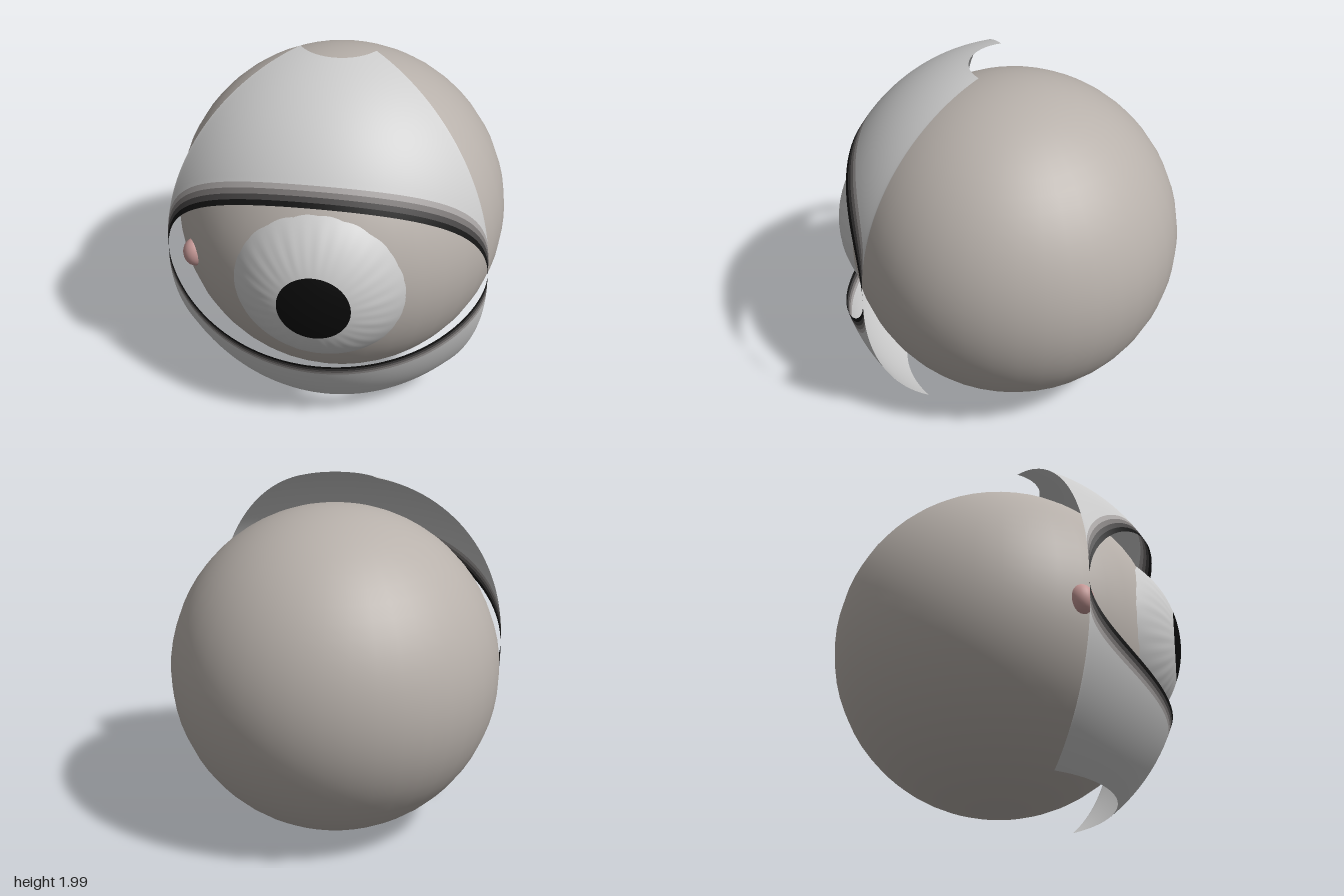
import * as THREE from 'three';
import { mergeVertices } from 'three/addons/utils/BufferGeometryUtils.js';

const CENTRE = new THREE.Vector3(0, 0.935, -0.045);
const HALF_WIDTH = THREE.MathUtils.degToRad(56.3); // azimuth of the eye corners

function add(parent, name, geometry, color = 0xcccccc, side = THREE.FrontSide) {
  const mesh = new THREE.Mesh(geometry, new THREE.MeshStandardMaterial({ color, side }));
  mesh.name = name;
  parent.add(mesh);
  return mesh;
}

// Strip of a lid between t0 and t1 (0 = margin at the opening, 1 = far edge).
// sign is +1 for the upper lid and -1 for the lower one.
function lidStrip(sign, open, far, swell, t0, t1) {
  const geo = new THREE.PlaneGeometry(2, 1, 64, Math.max(2, Math.ceil((t1 - t0) * 28)));
  const pos = geo.attributes.position;
  for (let i = 0; i < pos.count; i++) {
    // even steps of the angle crowd the columns towards the eye corners
    const a = pos.getX(i) * Math.PI / 2;
    const azimuth = HALF_WIDTH * Math.sin(a);
    const t = THREE.MathUtils.lerp(t0, t1, 0.5 + sign * pos.getY(i));
    const elevation = sign * THREE.MathUtils.lerp(open * Math.cos(a), far, t);
    const r = 1.046 + swell * t;
    const flat = r * Math.cos(elevation);
    pos.setXYZ(i, flat * Math.sin(azimuth), r * Math.sin(elevation), flat * Math.cos(azimuth));
  }
  geo.computeVertexNormals();
  return geo;
}

function makeLid(name, sign, openDeg, farDeg, swell) {
  const lid = new THREE.Group();
  lid.name = name;
  const rad = THREE.MathUtils.degToRad;
  // the margin darkens in narrow bands towards the opening
  const bands = [
    ['Margin', 0, 0.035, 0x151515],
    ['InnerBand', 0.035, 0.07, 0x484646],
    ['MiddleBand', 0.07, 0.105, 0x7c7877],
    ['OuterBand', 0.105, 0.14, 0xa8a4a3],
    ['Skin', 0.14, 1, 0xcccccc],
  ];
  for (const [part, t0, t1, color] of bands) {
    add(lid, name + part, lidStrip(sign, rad(openDeg), rad(farDeg), swell, t0, t1), color, THREE.DoubleSide);
  }
  return lid;
}

// Cap of the bulging cornea, facing +z, with fine radial folds
function domeCap(from, to, ripple) {
  const geo = new THREE.SphereGeometry(0.58, 144, 20, 0, Math.PI * 2, from, to - from);
  geo.rotateX(Math.PI / 2);
  if (!ripple) return geo;
  const pos = geo.attributes.position;
  const v = new THREE.Vector3();
  for (let i = 0; i < pos.count; i++) {
    v.fromBufferAttribute(pos, i);
    const angle = Math.atan2(v.y, v.x);
    const s = (Math.acos(Math.min(1, v.z / 0.58)) - from) / (to - from);
    const fold = Math.sin(angle * 30) + 0.5 * Math.sin(angle * 17 + 1);
    v.multiplyScalar(1 + ripple * fold * Math.sin(Math.PI * s));
    pos.setXYZ(i, v.x, v.y, v.z);
  }
  geo.deleteAttribute('uv');
  geo.deleteAttribute('normal');
  const merged = mergeVertices(geo, 1e-5);
  merged.computeVertexNormals();
  return merged;
}

export function createModel() {
  const eye = new THREE.Group();
  eye.name = 'eye';
  eye.position.copy(CENTRE);

  add(eye, 'eyeball', new THREE.SphereGeometry(0.925, 40, 32), 0xb8b1ab);

  // iris and pupil share one dome
  add(eye, 'iris', domeCap(0.345, 0.92, 0.0016)).position.z = 0.445;
  add(eye, 'pupil', domeCap(0, 0.345, 0), 0x0a0a0a).position.z = 0.445;

  // pink bead in the inner corner
  const bead = add(eye, 'tearDuct', new THREE.SphereGeometry(1, 24, 16), 0xc79a98);
  bead.scale.set(0.065, 0.083, 0.065);
  bead.position.set(-0.74, -0.05, 0.53);

  eye.add(makeLid('upperLid', 1, 32, 77.2, 0.046));
  eye.add(makeLid('lowerLid', -1, 23.4, 54.3, 0.055));

  const model = new THREE.Group();
  model.name = 'eyeModel';
  model.add(eye);
  return model;
}
